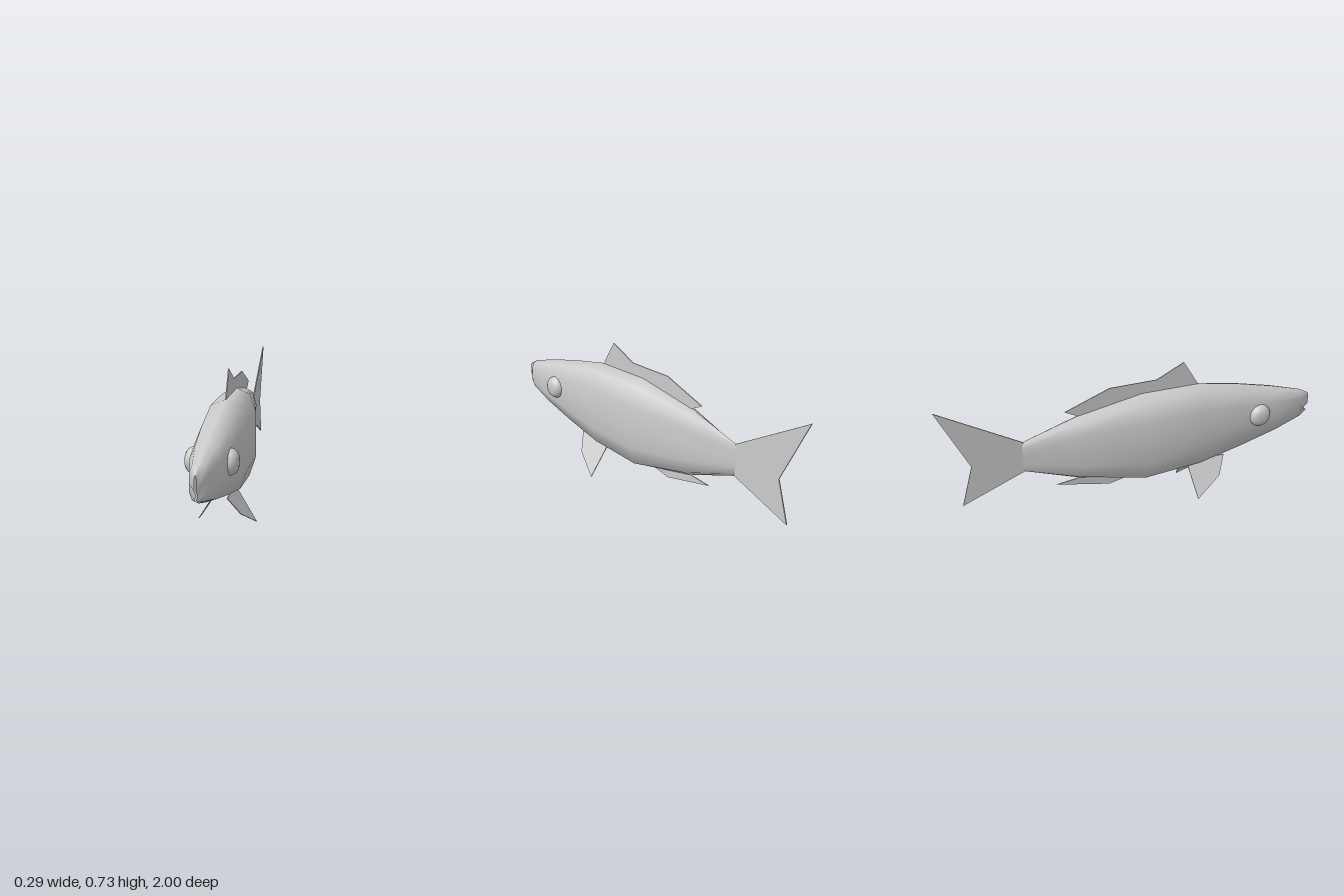
import * as THREE from 'three';

const material = new THREE.MeshStandardMaterial({ color: 0xcccccc, side: THREE.DoubleSide });

function add(parent, name, geometry) {
  const mesh = new THREE.Mesh(geometry, material);
  mesh.name = name;
  parent.add(mesh);
  return mesh;
}

// Half cross-section from back ridge to belly: [width share, height share from the top]
const SECTION = [[0, 0], [0.68, 0.06], [1, 0.25], [1.01, 0.5], [1, 0.73], [0.68, 0.93], [0, 1]];

// Body stations from head to tail root: [z, top, bottom, half width]
const STATIONS = [
  [0.94, 0.465, 0.302, 0.038],
  [0.78, 0.51, 0.255, 0.07],
  [0.57, 0.56, 0.2, 0.088],
  [0.33, 0.605, 0.145, 0.102],
  [0.02, 0.605, 0.12, 0.1],
  [-0.31, 0.545, 0.19, 0.055],
  [-0.6, 0.455, 0.295, 0.004],
];

// Snout ridge on the centre line, with the mouth notch: [y, z]
const SNOUT = [[0.435, 0.995], [0.42, 1], [0.368, 1], [0.345, 0.972], [0.333, 0.995], [0.324, 0.985], [0.315, 0.97]];

function bodyGeometry() {
  const half = SECTION.length - 1, n = half * 2;
  const positions = [], index = [];
  const ring = (point) => {
    for (let j = 0; j < n; j++) {
      const k = j <= half ? j : n - j;
      const [x, y, z] = point(k);
      positions.push(j <= half ? x : -x, y, z);
    }
  };
  ring((k) => [k % half ? 0.004 : 0, ...SNOUT[k]]);
  for (const [z, top, bottom, width] of STATIONS) {
    ring((k) => [SECTION[k][0] * width, top + (bottom - top) * SECTION[k][1], z]);
  }
  for (let i = 0; i < STATIONS.length; i++) {
    for (let j = 0; j < n; j++) {
      const a = i * n + j, b = i * n + (j + 1) % n;
      index.push(a, b, a + n, b, b + n, a + n);
    }
  }
  const geometry = new THREE.BufferGeometry();
  geometry.setAttribute('position', new THREE.Float32BufferAttribute(positions, 3));
  geometry.setIndex(index);
  geometry.computeVertexNormals();
  return geometry;
}

// Thin upright fin from a side outline of [z, y] points
function finGeometry(outline, thickness = 0.005) {
  const shape = new THREE.Shape(outline.map(([z, y]) => new THREE.Vector2(z, y)));
  const geometry = new THREE.ExtrudeGeometry(shape, { depth: thickness, bevelEnabled: false });
  return geometry.translate(0, 0, -thickness / 2).rotateY(-Math.PI / 2);
}

export function createModel() {
  const fish = new THREE.Group();
  fish.name = 'fish';
  add(fish, 'body', bodyGeometry());

  // Fins on the centre line
  add(fish, 'dorsalFin', finGeometry([
    [0.33, 0.6], [0.245, 0.735], [0.1, 0.665], [-0.15, 0.662], [-0.38, 0.575], [-0.31, 0.54], [0.02, 0.595],
  ]));
  add(fish, 'tailFin', finGeometry([
    [-0.595, 0.455], [-0.995, 0.685], [-0.85, 0.375], [-0.91, 0.17], [-0.595, 0.295],
  ], 0.006));
  add(fish, 'analFin', finGeometry([
    [-0.05, 0.145], [-0.16, 0.12], [-0.44, 0.18], [-0.31, 0.195],
  ]));

  for (const [label, side] of [['left', 1], ['right', -1]]) {
    // Lower fin, splayed outwards as it drops
    const fin = finGeometry([[0.48, 0.175], [0.43, 0.085], [0.285, 0.002], [0.265, 0.15], [0.27, 0.175]]);
    const p = fin.attributes.position;
    for (let i = 0; i < p.count; i++) {
      p.setX(i, p.getX(i) + side * (0.033 + (0.175 - p.getY(i)) * 0.63));
    }
    fin.computeVertexNormals();
    add(fish, label + 'PelvicFin', fin);

    // Domed eye
    const profile = [[0.06, 0], [0.058, 0.014], [0.049, 0.028], [0.034, 0.037], [0.016, 0.04], [0, 0.04]];
    const eye = new THREE.LatheGeometry(profile.map(([r, h]) => new THREE.Vector2(r, h)), 20);
    eye.rotateZ(-side * Math.PI / 2);
    add(fish, label + 'Eye', eye).position.set(side * 0.077, 0.4, 0.655);
  }
  return fish;
}
